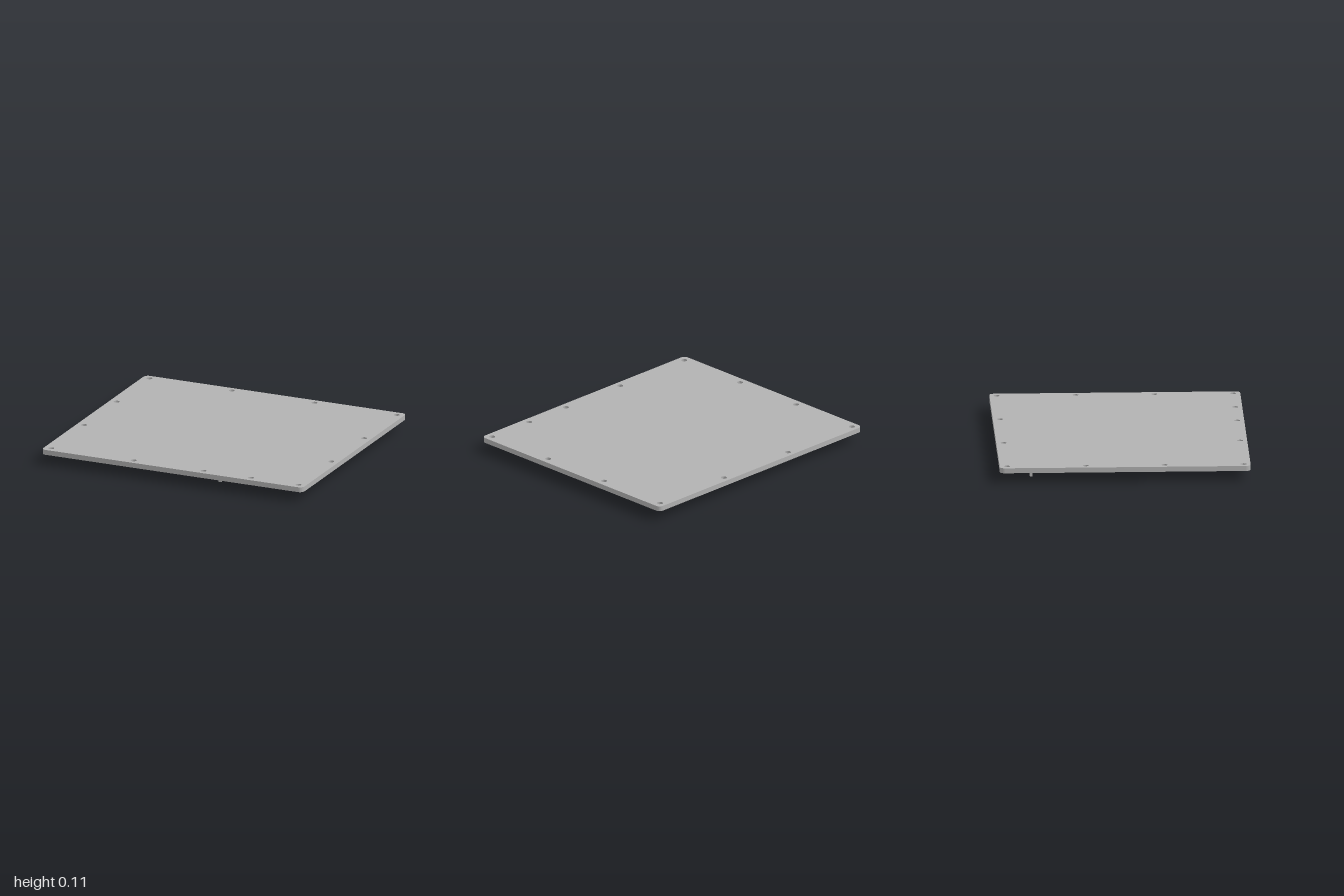
import * as THREE from 'three';
import { toCreasedNormals } from 'three/addons/utils/BufferGeometryUtils.js';

const STEP = 0.036; // plate thickness, also the height of each lower tier

// Horizontal slab extruded from a shape drawn in (x, -z)
function slab(name, shape, y, material) {
  const geo = new THREE.ExtrudeGeometry(shape, { depth: STEP, bevelEnabled: false, curveSegments: 12 });
  geo.rotateX(-Math.PI / 2);
  const mesh = new THREE.Mesh(toCreasedNormals(geo, 0.6), material);
  mesh.name = name;
  mesh.position.y = y;
  return mesh;
}

// Rectangle outline centred on the origin, with optional corner radius
function outline(Kind, hx, hz, r = 0) {
  const s = new Kind();
  if (!r) {
    return s.moveTo(-hx, -hz).lineTo(hx, -hz).lineTo(hx, hz).lineTo(-hx, hz).closePath();
  }
  s.moveTo(-hx + r, -hz);
  s.absarc(hx - r, -hz + r, r, -Math.PI / 2, 0);
  s.absarc(hx - r, hz - r, r, 0, Math.PI / 2);
  s.absarc(-hx + r, hz - r, r, Math.PI / 2, Math.PI);
  s.absarc(-hx + r, -hz + r, r, Math.PI, Math.PI * 1.5);
  return s;
}

function box(name, x0, x1, y0, y1, z0, z1, material) {
  const mesh = new THREE.Mesh(new THREE.BoxGeometry(x1 - x0, y1 - y0, z1 - z0), material);
  mesh.name = name;
  mesh.position.set((x0 + x1) / 2, (y0 + y1) / 2, (z0 + z1) / 2);
  return mesh;
}

export function createModel() {
  const group = new THREE.Group();
  group.name = 'coverPanel';
  const grey = new THREE.MeshStandardMaterial({ color: 0xb2b2b2 });
  grey.name = 'plain grey';

  // Cover plate with screw holes around the border
  const plate = outline(THREE.Shape, 1, 0.875, 0.035);
  const hx = 0.947, hz = 0.825;
  const holes = [
    ...[-hx, -0.316, 0.316, hx].map((x) => [x, -hz]),
    ...[-hx, -0.316, 0.22, 0.583, hx].map((x) => [x, hz]),
    ...[-hx, hx].flatMap((x) => [[x, -0.275], [x, 0.275]]),
  ];
  for (const [x, z] of holes) {
    plate.holes.push(new THREE.Path().absarc(x, -z, 0.021, 0, Math.PI * 2, true));
  }
  group.add(slab('coverPlate', plate, 2 * STEP, grey));

  // Thin locating rim under the plate
  const rim = outline(THREE.Shape, 0.847, 0.725);
  rim.holes.push(outline(THREE.Path, 0.829, 0.71));
  group.add(slab('locatingRim', rim, STEP, grey));

  // Two crossing stiffening ribs inside the rim
  group.add(box('longRib', -0.829, 0.829, 0, 2 * STEP, -0.66, -0.641, grey));
  group.add(box('crossRib', 0.28, 0.3, 0, 2 * STEP, -0.71, 0.71, grey));

  return group;
}
